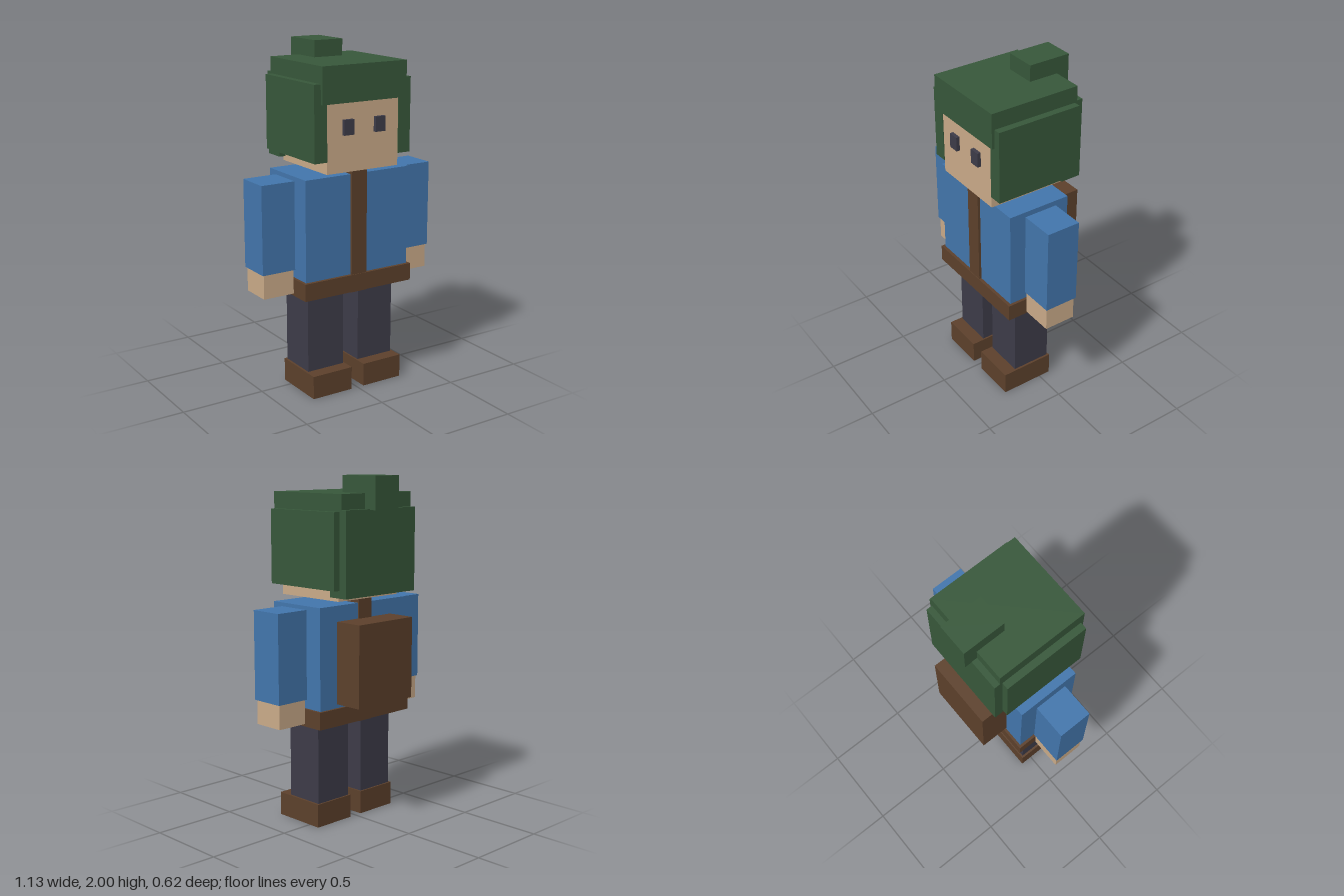
import * as THREE from 'three';

const mat = (name, color) => {
  const m = new THREE.MeshStandardMaterial({ color });
  m.name = name;
  return m;
};

export function createModel() {
  const hairGreen = mat('hair green', 0x37573a);
  const skin = mat('skin', 0xc9aa88);
  const coatBlue = mat('coat blue', 0x4275ab);
  const leather = mat('leather brown', 0x5c402b);
  const charcoal = mat('charcoal', 0x3d3b48);

  const model = new THREE.Group();
  model.name = 'blockFigure';

  // Box from its limits on each axis
  const box = (name, material, [x0, x1], [y0, y1], [z0, z1]) => {
    const mesh = new THREE.Mesh(new THREE.BoxGeometry(x1 - x0, y1 - y0, z1 - z0), material);
    mesh.position.set((x0 + x1) / 2, (y0 + y1) / 2, (z0 + z1) / 2);
    mesh.name = name;
    model.add(mesh);
  };
  // Box centred on x = 0
  const centred = (name, material, half, y, z) => box(name, material, [-half, half], y, z);
  // Mirrored pair, given by the +x side
  const pair = (name, material, [x0, x1], y, z) => {
    box('left' + name, material, [x0, x1], y, z);
    box('right' + name, material, [-x1, -x0], y, z);
  };

  // Legs and boots
  pair('Boot', leather, [0.042, 0.303], [0, 0.137], [-0.072, 0.254]);
  pair('Leg', charcoal, [0.052, 0.29], [0.13, 0.61], [-0.062, 0.175]);

  // Coat with front and back trim and a belt
  centred('coat', coatBlue, 0.344, [0.602, 1.288], [-0.139, 0.246]);
  centred('coatTrim', leather, 0.05, [0.6, 1.312], [-0.148, 0.261]);
  centred('belt', leather, 0.36, [0.604, 0.705], [-0.154, 0.265]);
  centred('backpack', leather, 0.214, [0.727, 1.198], [-0.313, -0.139]);

  // Arms and hands
  pair('Sleeve', coatBlue, [0.36, 0.566], [0.762, 1.27], [-0.046, 0.157]);
  pair('Hand', skin, [0.367, 0.557], [0.622, 0.77], [-0.038, 0.15]);

  // Head and eyes
  centred('head', skin, 0.235, [1.315, 1.79], [-0.172, 0.291]);
  pair('Eye', charcoal, [0.071, 0.136], [1.523, 1.608], [0.28, 0.312]);

  // Hair: top with fringe, sides, back and bun
  centred('hairTop', hairGreen, 0.275, [1.7, 1.905], [-0.236, 0.312]);
  pair('HairSide', hairGreen, [0.235, 0.316], [1.384, 1.81], [-0.221, 0.295]);
  centred('hairBack', hairGreen, 0.275, [1.342, 1.82], [-0.271, -0.148]);
  centred('hairBun', hairGreen, 0.093, [1.815, 2], [-0.313, -0.058]);

  return model;
}
